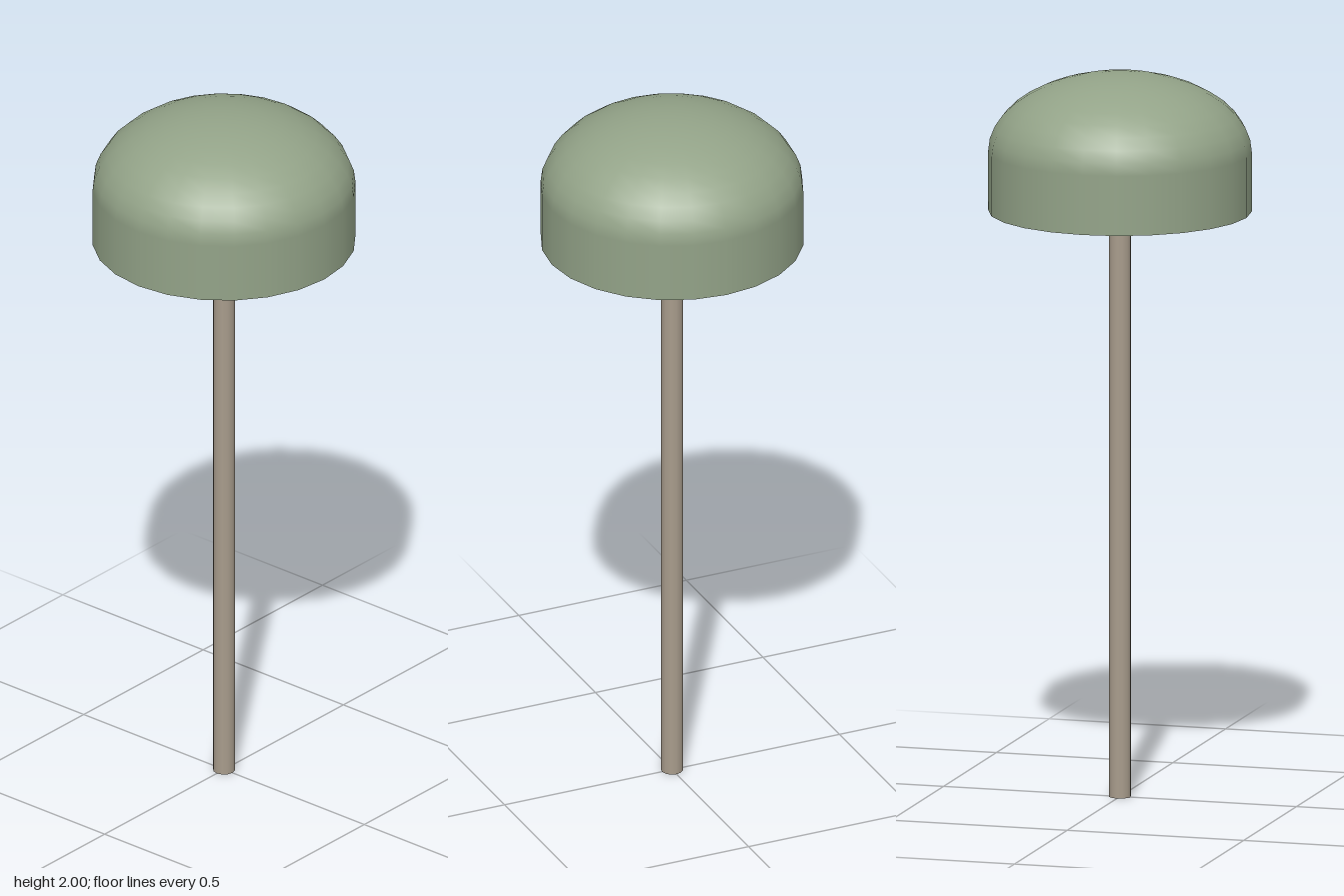
import * as THREE from 'three';

const SIDES = 24;
const RADIUS = 0.358;
const BASE_Y = 1.62;
const DOME_Y = 1.785;

export function createModel() {
  const model = new THREE.Group();
  const green = new THREE.MeshStandardMaterial({ color: 0x93a388 });
  const wood = new THREE.MeshStandardMaterial({ color: 0xa89c8c });

  function add(name, geometry, material, y) {
    const mesh = new THREE.Mesh(geometry, material);
    mesh.name = name;
    mesh.position.y = y;
    model.add(mesh);
    return mesh;
  }

  // Slim post, closed at both ends
  add('post', new THREE.CylinderGeometry(0.03, 0.03, BASE_Y, 12), wood, BASE_Y / 2);

  // Straight-sided band of the cap with its flat underside
  const bandHeight = DOME_Y - BASE_Y;
  add('capBand', new THREE.CylinderGeometry(RADIUS, RADIUS, bandHeight, SIDES), green, BASE_Y + bandHeight / 2);

  // Flattened half-sphere on top of the band
  const dome = new THREE.SphereGeometry(RADIUS, SIDES, 10, 0, Math.PI * 2, 0, Math.PI / 2);
  add('capDome', dome, green, DOME_Y).scale.y = (2 - DOME_Y) / RADIUS;

  return model;
}
